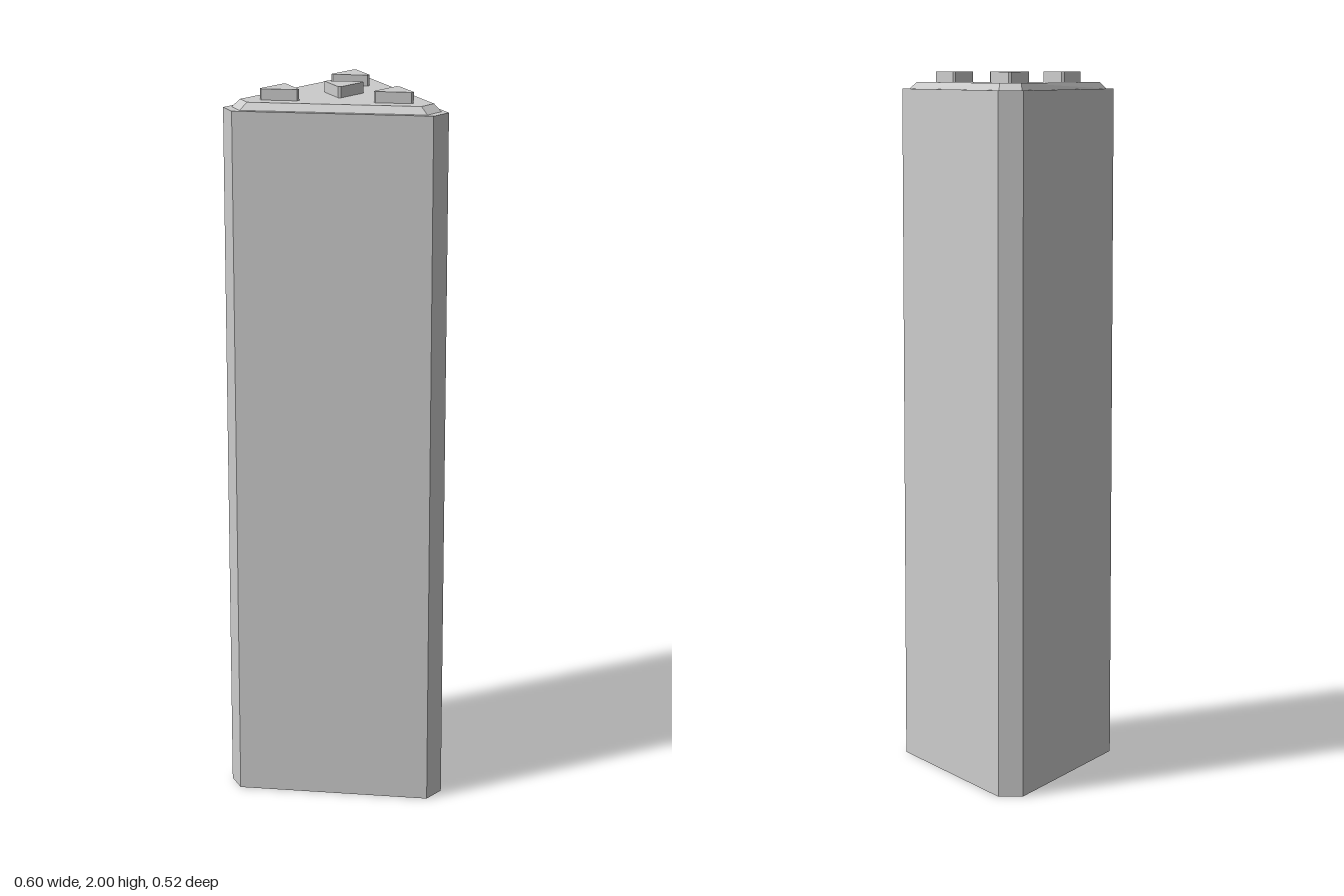
import * as THREE from 'three';
import { ConvexGeometry } from 'three/addons/geometries/ConvexGeometry.js';

const material = new THREE.MeshStandardMaterial({ color: 0xcccccc, flatShading: true });

// Triangle with cut corners, given by its right half from back to front, mirrored in x.
function outline(half, y) {
  return half.flatMap(([x, z]) => [new THREE.Vector3(x, y, z), new THREE.Vector3(-x, y, z)]);
}

// Solid between a lower and an upper outline.
function prism(name, lower, y0, upper, y1) {
  const geometry = new ConvexGeometry([...outline(lower, y0), ...outline(upper, y1)]);
  const mesh = new THREE.Mesh(geometry, material);
  mesh.name = name;
  return mesh;
}

export function createModel() {
  const group = new THREE.Group();
  group.name = 'triangularColumn';

  // Tall column
  const column = [[0.034, -0.262], [0.302, 0.203], [0.268, 0.261]];
  group.add(prism('columnBody', column, 0, column, 1.951));

  // Raised cap with sloping edges, set in from the column's rim
  const capBase = [[0.031, -0.241], [0.281, 0.191], [0.25, 0.246]];
  const capTop = [[0.029, -0.223], [0.26, 0.179], [0.232, 0.228]];
  group.add(prism('bevelledCap', capBase, 1.951, capTop, 1.97));

  // Four small triangular studs, the middle one turned round
  const stud = [[0.004, -0.061], [0.053, 0.023], [0.048, 0.031]];
  const places = [
    ['backStud', 0, -0.106, 0],
    ['middleStud', 0, 0.064, Math.PI],
    ['leftStud', 0.153, 0.158, 0],
    ['rightStud', -0.153, 0.158, 0],
  ];
  for (const [name, x, z, turn] of places) {
    const mesh = prism(name, stud, 0, stud, 0.03);
    mesh.position.set(x, 1.97, z);
    mesh.rotation.y = turn;
    group.add(mesh);
  }
  return group;
}
